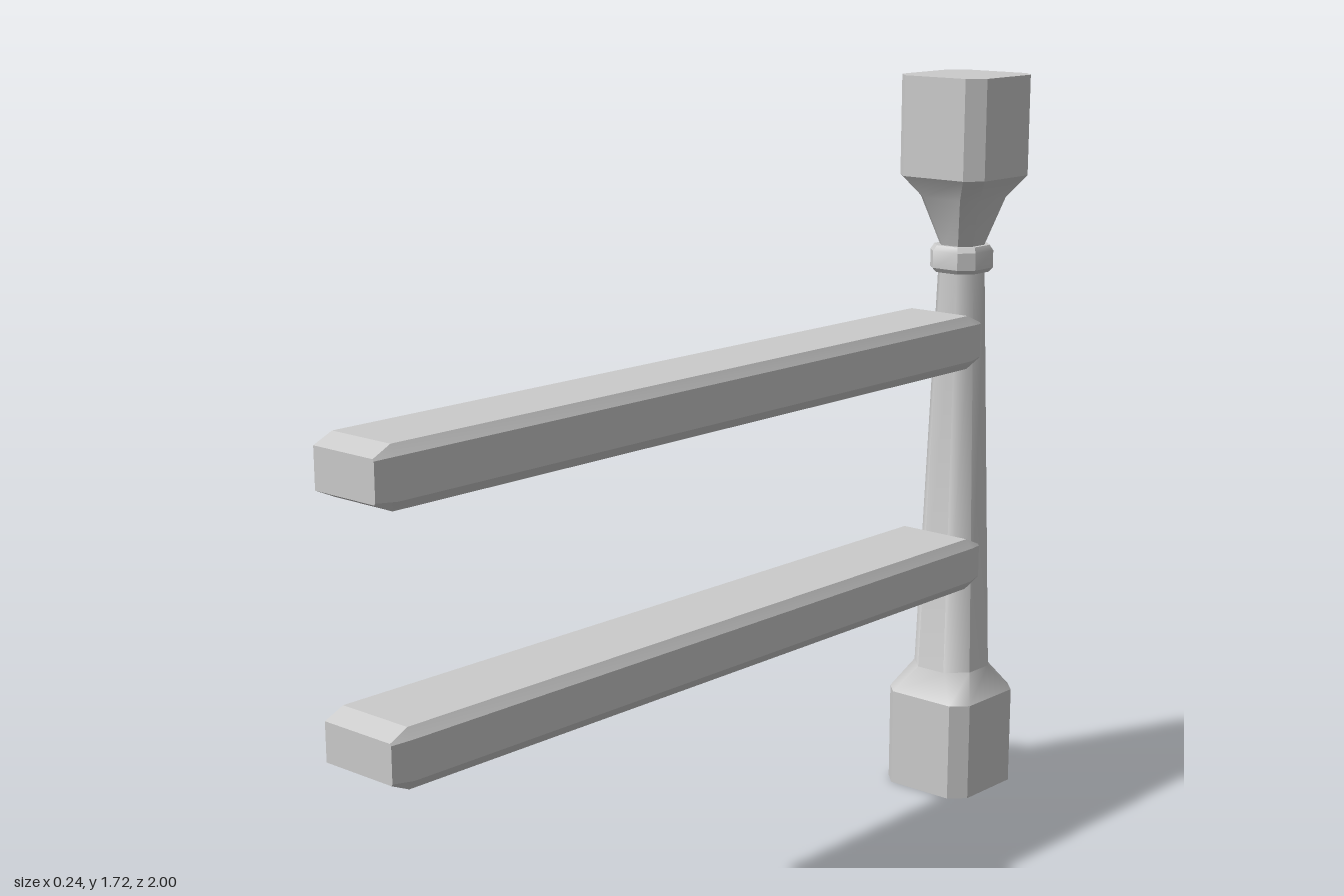
import * as THREE from 'three';
import { toCreasedNormals } from 'three/addons/utils/BufferGeometryUtils.js';

// Skin a stack of matching closed rings and cap both ends
function loft(rings, crease) {
  const pos = [];
  const tri = (a, b, c) => pos.push(...a, ...b, ...c);
  const n = rings[0].length;
  for (let s = 0; s < rings.length - 1; s++) {
    const a = rings[s], b = rings[s + 1];
    for (let i = 0; i < n; i++) {
      const j = (i + 1) % n;
      tri(a[i], a[j], b[j]);
      tri(a[i], b[j], b[i]);
    }
  }
  const first = rings[0], last = rings[rings.length - 1];
  for (let i = 1; i < n - 1; i++) {
    tri(first[0], first[i + 1], first[i]);
    tri(last[0], last[i], last[i + 1]);
  }
  const g = new THREE.BufferGeometry();
  g.setAttribute('position', new THREE.Float32BufferAttribute(pos, 3));
  return toCreasedNormals(g, crease);
}

// Square ring with cut corners at height y
function postRing([y, h, c]) {
  const k = h - c;
  return [[h, k], [h, -k], [k, -h], [-k, -h], [-h, -k], [-h, k], [-k, h], [k, h]]
    .map(([x, z]) => [x, y, z]);
}

// Rail section: flat on the left, chamfered on the right-hand edges
function railRing(z, x0, x1, y0, y1, c) {
  return [[x0, y0], [x1 - c, y0], [x1, y0 + c * 1.3], [x1, y1 - c * 1.3], [x1 - c, y1], [x0, y1]]
    .map(([x, y]) => [x, y, z]);
}

export function createModel() {
  const model = new THREE.Group();
  const material = new THREE.MeshStandardMaterial({ color: 0xcccccc });
  const add = (name, geometry, parent) => {
    const mesh = new THREE.Mesh(geometry, material);
    mesh.name = name;
    parent.add(mesh);
  };

  // Turned post: [height, half width, corner cut]
  const post = new THREE.Group();
  post.name = 'post';
  post.position.set(-0.004, 0, -0.878);
  model.add(post);
  const parts = {
    baseBlock: [0.5, [[0, 0.12, 0.035], [0.235, 0.12, 0.035]]],
    shaft: [0.9, [[0.235, 0.12, 0.035], [0.30, 0.083, 0.045], [1.27, 0.051, 0.029]]],
    collar: [0.5, [[1.265, 0.058, 0.028], [1.275, 0.065, 0.03], [1.315, 0.065, 0.03], [1.328, 0.058, 0.028]]],
    flare: [0.5, [[1.32, 0.045, 0.024], [1.44, 0.084, 0.032], [1.49, 0.12, 0.035]]],
    topBlock: [0.5, [[1.49, 0.12, 0.035], [1.72, 0.12, 0.035]]],
  };
  for (const [name, [crease, rows]] of Object.entries(parts)) {
    add(name, loft(rows.map(postRing), crease), post);
  }

  // Two rails running forward, bevelled at both ends and very slightly skewed
  const rails = [
    ['lowerRail', 0.523, 0.645, 0.117, -0.84],
    ['upperRail', 1.05, 1.175, 0.097, -0.85],
  ];
  for (const [name, y0, y1, right, back] of rails) {
    const ring = (z, end) => {
      const skew = 0.006 * (z - 1);
      return railRing(z, -0.081 + skew, right + skew - (end ? 0.01 : 0),
        y0 + (end ? 0.02 : 0), y1 - (end ? 0.02 : 0), end ? 0.003 : 0.016);
    };
    add(name, loft([ring(back, true), ring(back + 0.045, false), ring(0.955, false), ring(1, true)], 0.3), model);
  }
  return model;
}
